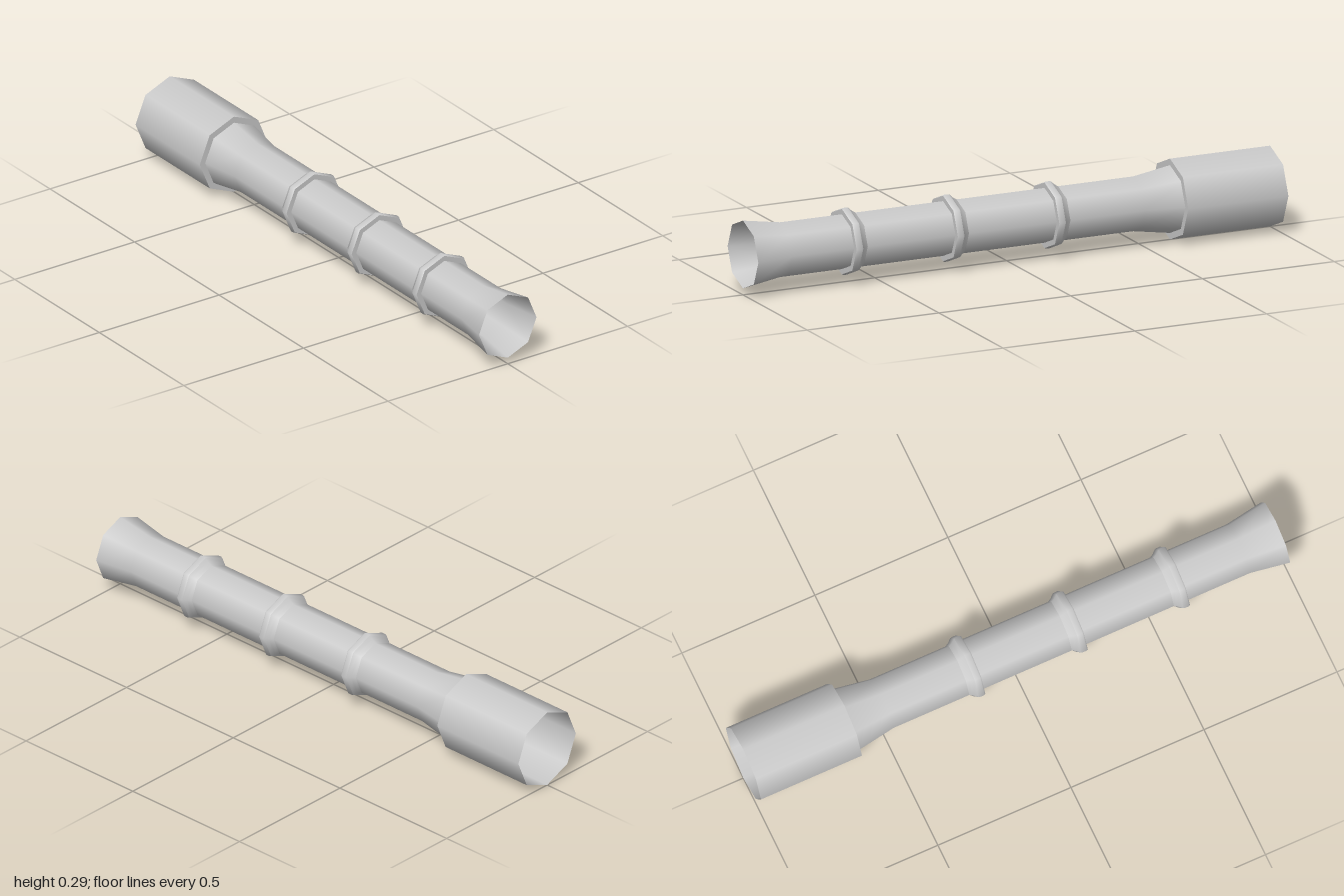
import * as THREE from 'three';

const material = new THREE.MeshStandardMaterial({ color: 0xcccccc, side: THREE.DoubleSide });
const AXIS_HEIGHT = 0.143;
const SIDES = 8;

// Eight-sided turned part along z; profile is [radius, z] from rear to front
function turned(name, profile) {
  const points = profile.map(([r, z]) => new THREE.Vector2(r, z));
  const geometry = new THREE.LatheGeometry(points, SIDES);
  geometry.rotateX(Math.PI / 2);
  const mesh = new THREE.Mesh(geometry, material);
  mesh.name = name;
  return mesh;
}

export function createModel() {
  const model = new THREE.Group();
  model.name = 'flaredTube';
  const body = new THREE.Group();
  body.name = 'body';
  body.position.y = AXIS_HEIGHT;
  model.add(body);

  // Open tube, flared at both ends
  body.add(turned('barrel', [[0.12, -0.62], [0.097, -0.48], [0.097, 0.86], [0.12, 1]]));

  // Wide rear sleeve, open at the back, with a flat front shoulder
  body.add(turned('rearSleeve', [[0.143, -1], [0.143, -0.62]]));
  body.add(turned('sleeveShoulder', [[0.143, -0.62], [0.119, -0.62]]));

  // Softly domed wall closing the bore
  body.add(turned('boreEnd', [[0.12, -0.62], [0.08, -0.607], [0.04, -0.599], [0, -0.597]]));

  // Collars: sloped rear, narrow band, flat front
  for (const z of [0.612, 0.228, -0.157]) {
    const collar = new THREE.Group();
    collar.name = 'collar';
    collar.position.z = z;
    collar.add(
      turned('collarSlope', [[0.096, -0.04], [0.105, -0.025], [0.117, -0.012]]),
      turned('collarBand', [[0.117, -0.012], [0.119, -0.006], [0.119, 0.008], [0.116, 0.013]]),
      turned('collarFace', [[0.116, 0.013], [0.095, 0.013]])
    );
    body.add(collar);
  }

  return model;
}
